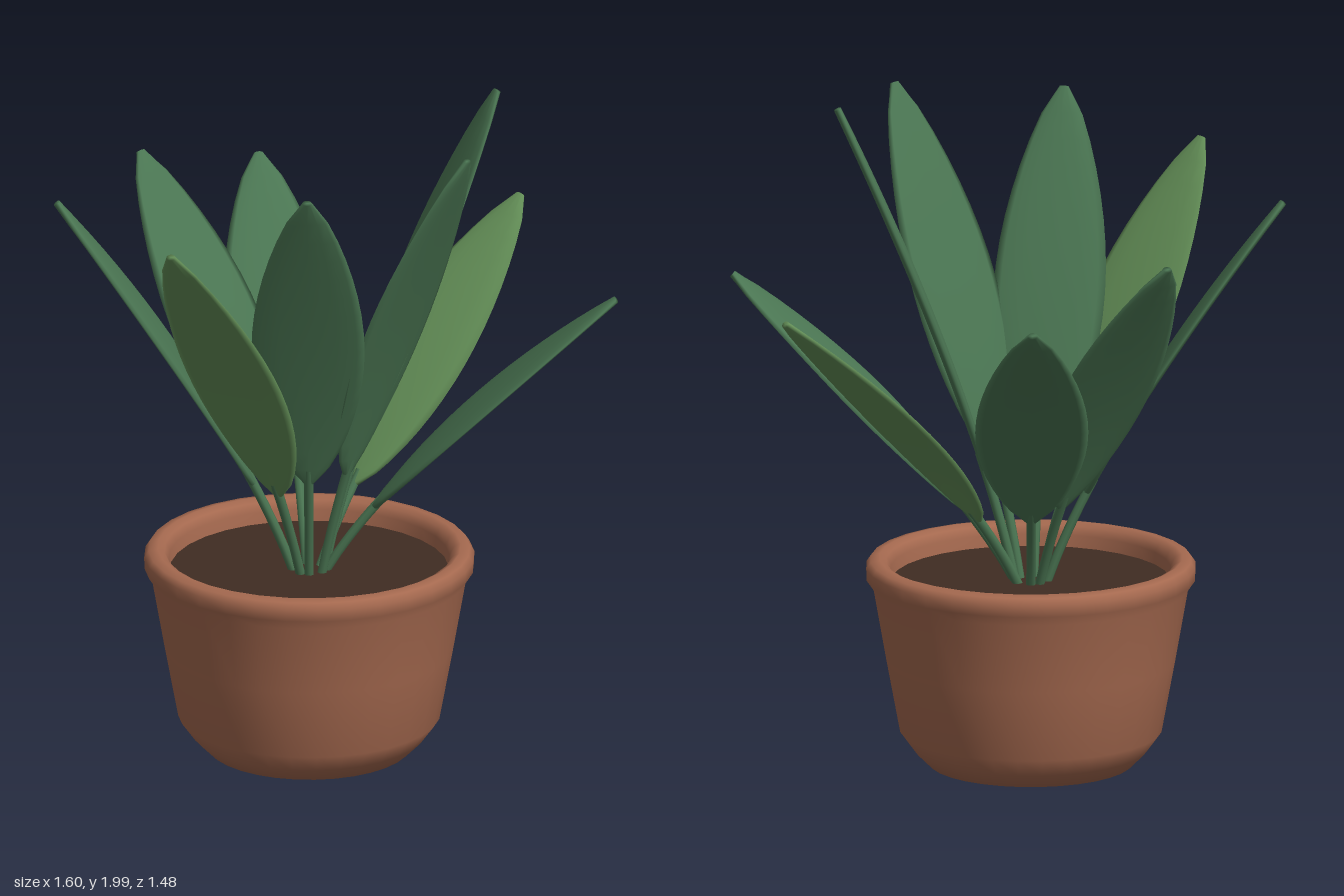
import * as THREE from 'three';
import { mergeVertices } from 'three/addons/utils/BufferGeometryUtils.js';

const mat = (name, color, side = THREE.FrontSide) => {
  const m = new THREE.MeshStandardMaterial({ color, side });
  m.name = name;
  return m;
};

const CENTER = new THREE.Vector3(-0.06, 0, 0.175); // axis of the pot
const SOIL_Y = 0.55;

// Leaf tips: x, y, z, and whether the leaf is the lighter green
const TIPS = [
  [0.02, 1.52, -0.73, false],
  [-0.40, 1.65, -0.49, false],
  [0.71, 1.47, -0.33, true],
  [-0.79, 1.71, 0.04, false],
  [-0.61, 1.75, 0.68, true],
  [-0.21, 1.90, 0.73, false],
  [0.30, 1.95, 0.63, false],
  [0.79, 1.42, 0.48, false],
  [0.51, 1.99, 0.17, false],
];

// Curve from the soil to the tip, rising first and then leaning outward
function leafCurve(tip) {
  const out = tip.clone().sub(CENTER).setY(0).normalize();
  const start = CENTER.clone().addScaledVector(out, 0.045).setY(SOIL_Y - 0.01);
  const span = tip.clone().sub(start);
  const bend = start.clone().add(span.clone().multiply(new THREE.Vector3(0.23, 0.4, 0.23)));
  return new THREE.QuadraticBezierCurve3(start, bend, tip);
}

// Thin lens-shaped blade: a cylinder flattened and swept along the curve
function bladeGeometry(curve, side) {
  const T0 = 0.28;
  let geo = new THREE.CylinderGeometry(1, 1, 1, 12, 16);
  const pos = geo.attributes.position;
  for (let i = 0; i < pos.count; i++) {
    const u = THREE.MathUtils.clamp(pos.getY(i) + 0.5, 0, 1);
    const t = T0 + (1 - T0) * u;
    const normal = side.clone().cross(curve.getTangent(t));
    const bulge = Math.pow(Math.max(Math.sin(Math.PI * u), 0), 0.72);
    const p = curve.getPoint(t)
      .addScaledVector(side, pos.getX(i) * (0.014 + 0.152 * bulge))
      .addScaledVector(normal, pos.getZ(i) * (0.011 + 0.004 * bulge));
    pos.setXYZ(i, p.x, p.y, p.z);
  }
  geo.deleteAttribute('uv');
  geo.deleteAttribute('normal');
  geo = mergeVertices(geo, 1e-5);
  geo.computeVertexNormals();
  return geo;
}

export function createModel() {
  const model = new THREE.Group();
  model.name = 'pottedPlant';
  const terracotta = mat('terracotta', 0xa5694f, THREE.DoubleSide);
  const earth = mat('soil', 0x402c22);
  const darkGreen = mat('darkGreen', 0x4a7552);
  const lightGreen = mat('lightGreen', 0x628d56);

  const add = (name, geo, material, parent = model) => {
    const mesh = new THREE.Mesh(geo, material);
    mesh.name = name;
    parent.add(mesh);
    return mesh;
  };

  // Pot with chamfered foot and rounded rim
  const profile = [
    [0, 0], [0.30, 0], [0.345, 0.045], [0.385, 0.1], [0.425, 0.315], [0.463, 0.53],
    [0.484, 0.56], [0.485, 0.595], [0.472, 0.614], [0.445, 0.62], [0.425, 0.61],
    [0.412, 0.585], [0.405, 0.5],
  ].map(([r, y]) => new THREE.Vector2(r, y));
  add('pot', new THREE.LatheGeometry(profile, 32), terracotta).position.copy(CENTER);

  // Soil
  const soil = add('soil', new THREE.CylinderGeometry(0.41, 0.4, 0.04, 32), earth);
  soil.position.copy(CENTER).setY(SOIL_Y - 0.02);

  // Leaves, each a stem and a blade on one curve
  TIPS.forEach(([x, y, z, light]) => {
    const leaf = new THREE.Group();
    leaf.name = 'leaf';
    const tip = new THREE.Vector3(x, y, z);
    const curve = leafCurve(tip);
    const out = tip.clone().sub(CENTER).setY(0).normalize();
    const side = new THREE.Vector3(0, 1, 0).cross(out).normalize();
    const stemPath = new THREE.CatmullRomCurve3(
      [0, 0.08, 0.16, 0.24, 0.32].map((t) => curve.getPoint(t)));
    add('stem', new THREE.TubeGeometry(stemPath, 8, 0.014, 8), darkGreen, leaf);
    add('blade', bladeGeometry(curve, side), light ? lightGreen : darkGreen, leaf);
    model.add(leaf);
  });

  return model;
}
